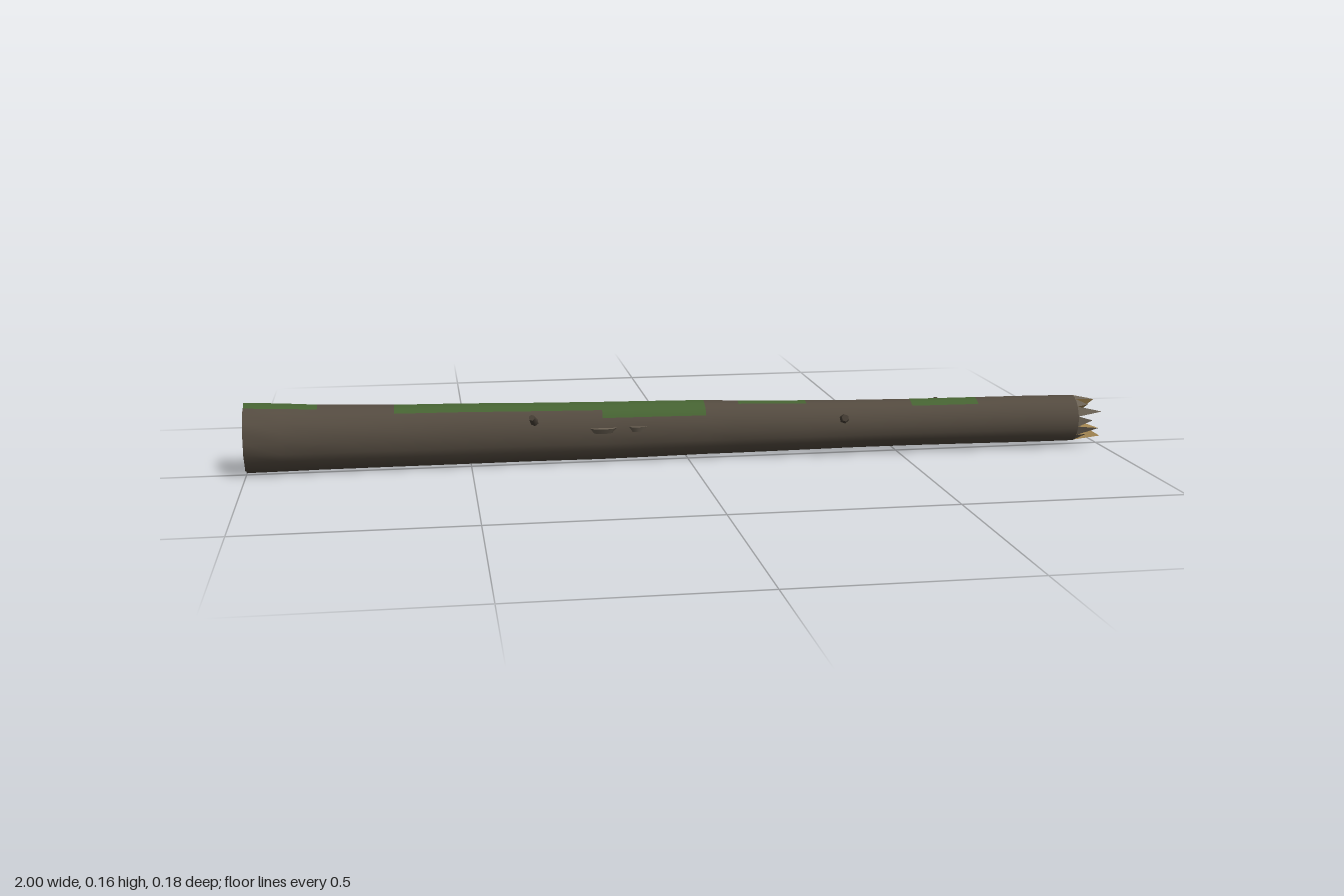
import * as THREE from 'three';

const mat = (name, color, side = THREE.FrontSide) => {
  const m = new THREE.MeshStandardMaterial({ color, side });
  m.name = name;
  return m;
};

// Trunk stations: x, centre y, centre z, half height, half depth
const stations = [
  [-1, 0.089, -0.016, 0.079, 0.071], [-0.92, 0.087, -0.018, 0.077, 0.068], [-0.84, 0.084, -0.021, 0.074, 0.063],
  [-0.67, 0.081, -0.022, 0.071, 0.057], [-0.52, 0.08, -0.022, 0.07, 0.054], [-0.36, 0.078, -0.023, 0.068, 0.053],
  [-0.2, 0.076, -0.023, 0.067, 0.053], [-0.1, 0.076, -0.022, 0.066, 0.053], [0.04, 0.076, -0.021, 0.064, 0.053],
  [0.12, 0.075, -0.017, 0.062, 0.052], [0.28, 0.075, -0.009, 0.059, 0.051], [0.4, 0.075, -0.005, 0.057, 0.051],
  [0.53, 0.075, -0.001, 0.056, 0.05], [0.69, 0.075, 0.004, 0.056, 0.049], [0.82, 0.075, 0.009, 0.056, 0.049],
  [0.93, 0.075, 0.013, 0.055, 0.048],
];
const SIDES = 20;

// Moss patches: x from, x to, first and last side counted from the top towards the front
const mossPatches = [
  [-1, -0.84, -2, 1], [-0.67, -0.36, -2, 2], [-0.36, -0.2, -4, 2], [-0.2, -0.1, -3, 3],
  [-0.1, 0.04, -3, 3], [0.12, 0.28, -3, 1], [0.53, 0.69, -3, 2],
];

// Point on a station's outline; angle 0 is the top, positive towards the front
function ringPoint(s, angle, scale = 1) {
  return [s[0], s[1] + s[3] * scale * Math.cos(angle), s[2] + s[4] * scale * Math.sin(angle)];
}

function trunkRing(i) {
  const fade = 1 - i / (stations.length - 1);
  return Array.from({ length: SIDES }, (_, j) =>
    ringPoint(stations[i], (j / SIDES) * Math.PI * 2, 1 + (j % 2 ? -0.045 : 0.02) * fade));
}

function build(positions, index) {
  const g = new THREE.BufferGeometry();
  g.setAttribute('position', new THREE.Float32BufferAttribute(positions.flat(), 3));
  if (index) g.setIndex(index);
  g.computeVertexNormals();
  return g;
}

export function createModel() {
  const bark = mat('bark', 0x544b40);
  const moss = mat('moss', 0x466332);
  const wood = mat('bareWood', 0x9f8350);
  const splinterBark = mat('splinterBark', 0x6a6154);
  const fungus = mat('fungus', 0x6e6456);
  const twigBark = mat('twigBark', 0x4a4238);

  const model = new THREE.Group();
  model.name = 'fallenLog';
  const add = (name, geometry, material, parent = model) => {
    const m = new THREE.Mesh(geometry, material);
    m.name = name;
    parent.add(m);
    return m;
  };

  // Trunk skin with mossy faces as a second material group
  const rings = stations.map((_, i) => trunkRing(i));
  const barkFaces = [], mossFaces = [];
  for (let i = 0; i < stations.length - 1; i++) {
    const mid = (stations[i][0] + stations[i + 1][0]) / 2;
    for (let j = 0; j < SIDES; j++) {
      const side = j < SIDES / 2 ? j : j - SIDES;
      const mossy = mossPatches.some(([x0, x1, a, b]) => mid > x0 && mid < x1 && side >= a && side < b);
      const k = (j + 1) % SIDES;
      const a = i * SIDES + j, b = a + SIDES, d = i * SIDES + k, c = d + SIDES;
      (mossy ? mossFaces : barkFaces).push(a, d, c, a, c, b);
    }
  }
  const trunk = build(rings.flat(), [...barkFaces, ...mossFaces]);
  trunk.addGroup(0, barkFaces.length, 0);
  trunk.addGroup(barkFaces.length, mossFaces.length, 1);
  add('trunk', trunk, [bark, moss]);

  // Sawn end
  const capFaces = [];
  for (let j = 0; j < SIDES; j++) capFaces.push(SIDES, (j + 1) % SIDES, j);
  add('sawnEnd', build([...rings[0], stations[0].slice(0, 3)], capFaces), wood);

  // Broken end: a crown of splinters, bark outside and bare wood inside
  const end = stations[stations.length - 1];
  const tips = [0.05, 0.03, 0.062, 0.038, 0.055, 0.028, 0.07, 0.04, 0.058, 0.032, 0.066, 0.036, 0.052, 0.042];
  const outer = [], inner = [];
  tips.forEach((length, k) => {
    const step = (Math.PI * 2) / tips.length;
    const a = ringPoint(end, k * step), b = ringPoint(end, (k + 1) * step);
    const t = ringPoint(end, (k + 0.5) * step, 0.84);
    const o = [end[0] - 0.005, end[1], end[2]];
    t[0] += length;
    outer.push(a, b, t);
    inner.push(b, o, t, o, a, t);
  });
  const crown = new THREE.Group();
  crown.name = 'brokenEnd';
  model.add(crown);
  add('splinterOutside', build(outer), splinterBark, crown);
  add('splinterInside', build(inner), wood, crown);

  // Twig stubs: base point, tip point, radius
  const twigs = [
    [[-0.355, 0.108, 0.015], [-0.365, 0.13, 0.062], 0.01],
    [[0.365, 0.095, 0.03], [0.353, 0.11, 0.088], 0.012],
    [[0.035, 0.095, -0.055], [0.065, 0.112, -0.088], 0.012],
    [[0.595, 0.095, -0.03], [0.618, 0.112, -0.072], 0.011],
  ];
  twigs.forEach(([from, to, r]) => {
    const p = new THREE.Vector3(...from), q = new THREE.Vector3(...to);
    const dir = q.clone().sub(p);
    const m = add('twigStub', new THREE.CylinderGeometry(r * 0.7, r, dir.length(), 6), twigBark);
    m.position.copy(p).add(q).multiplyScalar(0.5);
    m.quaternion.setFromUnitVectors(new THREE.Vector3(0, 1, 0), dir.normalize());
  });

  // Bracket fungi: flat discs half sunk into the sides
  [[-0.2, 0.087, 0.016, 0.036], [-0.12, 0.088, 0.018, 0.026], [0.13, 0.088, -0.055, 0.027]].forEach(([x, y, z, r]) => {
    const m = add('bracketFungus', new THREE.CylinderGeometry(r, r * 0.75, 0.012, 10), fungus);
    m.position.set(x, y, z);
    m.scale.z = 0.8;
  });

  return model;
}
